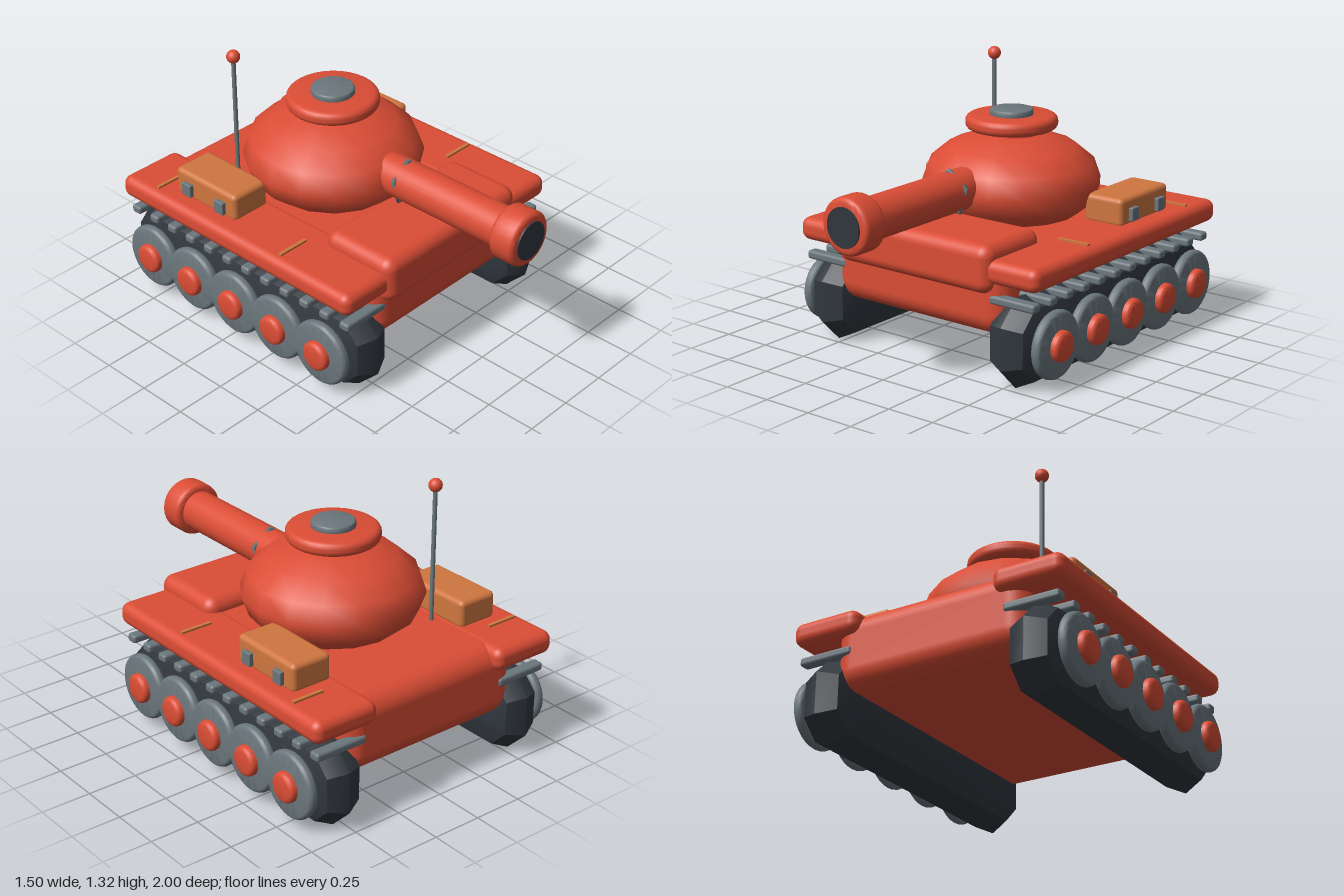
import * as THREE from 'three';
import { toCreasedNormals } from 'three/addons/utils/BufferGeometryUtils.js';
import { RoundedBoxGeometry } from 'three/addons/geometries/RoundedBoxGeometry.js';

const paint = (name, color) => {
  const m = new THREE.MeshStandardMaterial({ color });
  m.name = name;
  return m;
};

export function createModel() {
  const red = paint('red armour', 0xdb4d35);
  const steel = paint('grey steel', 0x6b777d);
  const rubber = paint('dark rubber', 0x31373e);
  const orange = paint('orange stowage', 0xcf7640);
  const tank = new THREE.Group();
  tank.name = 'tank';

  const add = (name, geometry, material, x = 0, y = 0, z = 0, parent = tank) => {
    const mesh = new THREE.Mesh(geometry, material);
    mesh.name = name;
    mesh.position.set(x, y, z);
    parent.add(mesh);
    return mesh;
  };

  // Rounded box given by its limits on each axis
  const block = (name, material, [x0, x1], [y0, y1], [z0, z1], r, parent) =>
    add(name, new RoundedBoxGeometry(x1 - x0, y1 - y0, z1 - z0, 4, r), material,
      (x0 + x1) / 2, (y0 + y1) / 2, (z0 + z1) / 2, parent);

  // Disc with rounded rims, centred on its own y axis
  const disc = (radius, height, round, segments = 32) => {
    const pts = [new THREE.Vector2(0, -height / 2)];
    for (const side of [-1, 1]) {
      for (let i = 0; i <= 4; i++) {
        const a = (side < 0 ? i - 4 : i) * Math.PI / 8;
        pts.push(new THREE.Vector2(radius - round + round * Math.cos(a),
          side * (height / 2 - round) + round * Math.sin(a)));
      }
    }
    pts.push(new THREE.Vector2(0, height / 2));
    return toCreasedNormals(new THREE.LatheGeometry(pts, segments), 0.6);
  };

  // Hull and sloping front plate
  block('hull', red, [-0.505, 0.505], [0.23, 0.6], [-0.94, 0.52], 0.1);
  block('frontPlate', red, [-0.455, 0.455], [0.437, 0.67], [0.145, 0.562], 0.06);

  // Track body: chamfered slab swelling to a ridge along its middle
  const z0 = -0.85, z1 = 0.42, y0 = 0.15, y1 = 0.28, c = 0.025;
  const outline = new THREE.Shape([
    [z0 + c, y0], [z1 - c, y0], [z1, y0 + c], [z1, y1 - c],
    [z1 - c, y1], [z0 + c, y1], [z0, y1 - c], [z0, y0 + c],
  ].map(([z, y]) => new THREE.Vector2(-z, y)));
  const trackGeo = toCreasedNormals(new THREE.ExtrudeGeometry(outline, {
    depth: 0.002, bevelThickness: 0.128, bevelSize: 0.15, bevelSegments: 2,
  }).rotateY(Math.PI / 2), 0.7);
  const wheelGeo = disc(0.163, 0.052, 0.022).rotateZ(Math.PI / 2);
  const hubGeo = disc(0.074, 0.08, 0.022, 24).rotateZ(Math.PI / 2);
  const linkGeo = new RoundedBoxGeometry(0.28, 0.042, 0.058, 3, 0.014);

  for (const s of [-1, 1]) {
    const side = new THREE.Group();
    side.name = s > 0 ? 'leftSide' : 'rightSide';
    tank.add(side);
    const span = (a, b) => (s > 0 ? [a, b] : [-b, -a]);

    // Running gear
    add('track', trackGeo, rubber, s * 0.538, 0, 0, side);
    for (let i = 0; i < 5; i++) {
      const z = 0.358 - i * 0.285;
      add('wheel', wheelGeo, steel, s * 0.687, 0.214, z, side);
      add('wheelHub', hubGeo, red, s * 0.709, 0.214, z, side);
    }
    for (let i = 0; i < 12; i++) {
      add('trackLink', linkGeo, steel, s * 0.54, 0.415, 0.487 - i * 0.128, side);
    }

    // Fender with trim strips
    block('fender', red, span(0.355, 0.709), [0.49, 0.604], [-0.98, 0.538], 0.045, side);
    for (const z of [-0.76, 0.075]) {
      add('fenderStrip', new THREE.BoxGeometry(0.168, 0.018, 0.018), orange,
        s * 0.581, 0.605, z, side);
    }

    // Stowage box with two clasps
    block('stowageBox', orange, span(0.39, 0.605), [0.59, 0.731], [-0.688, -0.28], 0.025, side);
    for (const z of [-0.595, -0.372]) {
      block('clasp', steel, span(0.603, 0.628), [0.614, 0.68], [z - 0.029, z + 0.029], 0.005, side);
    }
  }

  // Turret dome and hatch
  const domeZ = -0.22;
  add('turret', new THREE.SphereGeometry(0.44, 16, 8).scale(1, 0.557, 1), red, 0, 0.755, domeZ);
  add('hatchNeck', new THREE.CylinderGeometry(0.14, 0.14, 0.06, 24), red, 0, 0.99, domeZ);
  add('hatchRing', disc(0.225, 0.07, 0.03), red, 0, 1.04, domeZ);
  add('hatchLid', disc(0.106, 0.045, 0.012), steel, 0, 1.082, domeZ);

  // Gun
  const gunY = 0.784;
  const barrel = new THREE.CylinderGeometry(0.1, 0.1, 0.9, 32).rotateX(Math.PI / 2);
  add('barrel', barrel, red, 0, gunY, 0.45);
  add('muzzle', disc(0.135, 0.137, 0.025).rotateX(Math.PI / 2), red, 0, gunY, 0.924);
  add('bore', new THREE.CylinderGeometry(0.094, 0.094, 0.016, 32).rotateX(Math.PI / 2),
    rubber, 0, gunY, 0.992);
  // Five-sided collar whose corners break through the barrel
  add('barrelCollar', new THREE.TorusGeometry(0.105, 0.012, 8, 5).rotateZ(Math.PI / 10),
    steel, 0, gunY, 0.26);

  // Antenna
  add('antennaRod', new THREE.CylinderGeometry(0.011, 0.011, 0.69, 12), steel, -0.345, 0.935, -0.53);
  add('antennaBall', new THREE.SphereGeometry(0.033, 20, 14), red, -0.345, 1.285, -0.53);

  return tank;
}
